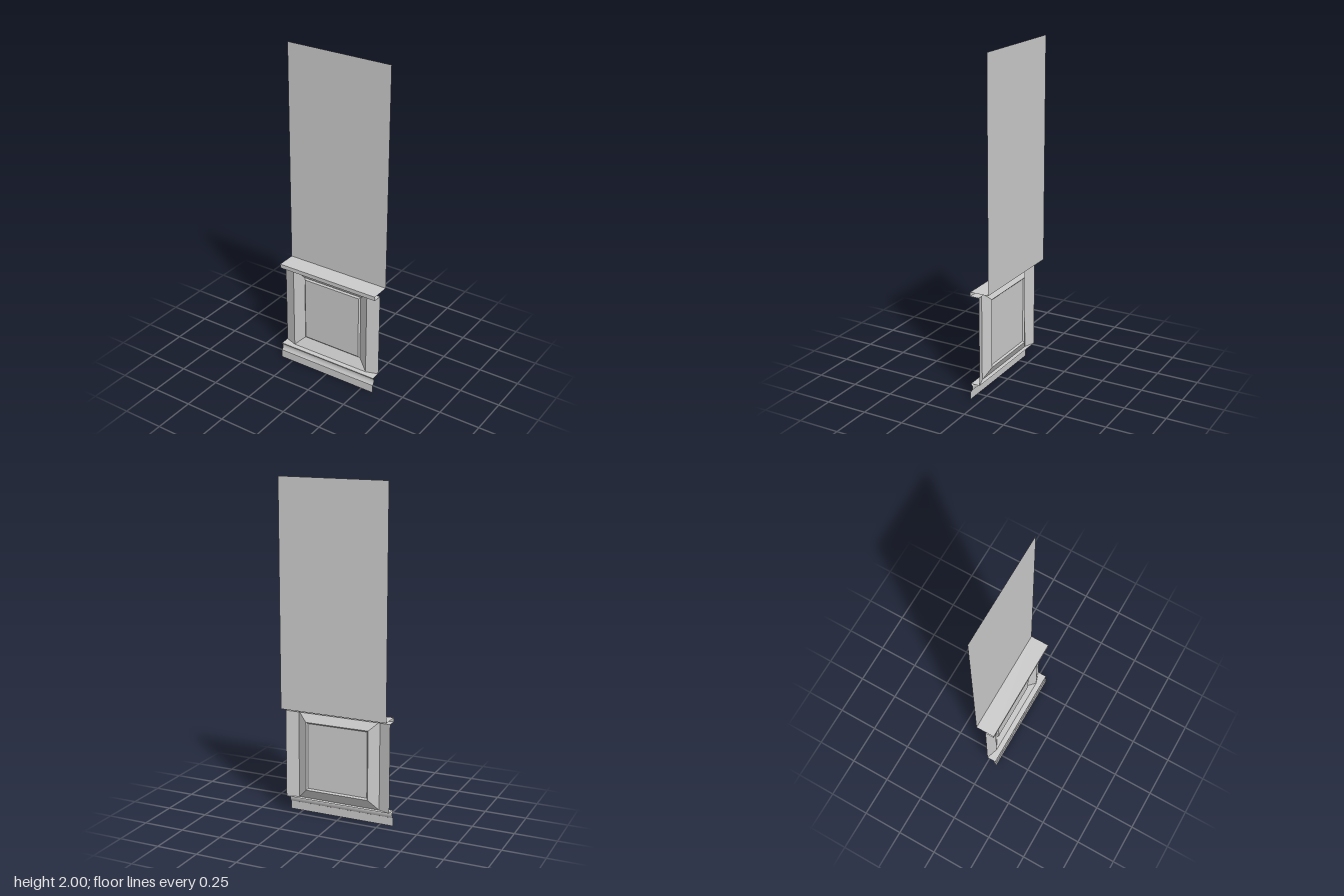
import * as THREE from 'three';

const HALF = 0.33; // half the width of the wall section

const flat = new THREE.MeshStandardMaterial({ color: 0xcccccc, side: THREE.DoubleSide, flatShading: true });
const smooth = new THREE.MeshStandardMaterial({ color: 0xcccccc, side: THREE.DoubleSide });

// Skin between rows of points; rows run downwards, points run left to right
function loft(name, rows, material = flat) {
  const n = rows[0].length;
  const index = [];
  for (let r = 0; r < rows.length - 1; r++) {
    for (let c = 0; c < n - 1; c++) {
      const a = r * n + c, d = a + n;
      index.push(a, d, a + 1, a + 1, d, d + 1);
    }
  }
  const geometry = new THREE.BufferGeometry();
  geometry.setAttribute('position', new THREE.Float32BufferAttribute(rows.flat(2), 3));
  geometry.setIndex(index);
  geometry.computeVertexNormals();
  const mesh = new THREE.Mesh(geometry, material);
  mesh.name = name;
  return mesh;
}

// Open moulding: a [z, y] profile drawn across the full width
const moulding = (name, profile, material) =>
  loft(name, profile.map(([z, y]) => [[-HALF, y, z], [HALF, y, z]]), material);

// Closed rectangular loop, clockwise from the front
const rectLoop = (x, bottom, top, z) =>
  [[-x, top, z], [x, top, z], [x, bottom, z], [-x, bottom, z], [-x, top, z]];

export function createModel() {
  const model = new THREE.Group();
  model.name = 'wallPanel';

  // Plain wall above and the chair rail ledge
  model.add(moulding('upperWall', [[-0.06, 2], [-0.06, 0.66]]));
  model.add(moulding('chairRail', [[-0.06, 0.66], [0.056, 0.66], [0.056, 0.635], [0, 0.635]]));

  // Slanted stiles on both sides of the panel
  for (const side of [-1, 1]) {
    const row = (y) => {
      const pts = [[side * 0.257, y, 0.025], [side * HALF, y, 0]];
      return side > 0 ? pts : pts.reverse();
    };
    model.add(loft(side > 0 ? 'leftStile' : 'rightStile', [row(0.635), row(0.1)]));
  }

  // Recessed bevel, small raised lip and centre field
  const outer = rectLoop(0.257, 0.1, 0.635, 0.025);
  const recess = rectLoop(0.197, 0.16, 0.58, -0.006);
  const field = rectLoop(0.188, 0.17, 0.571, 0.003);
  model.add(loft('panelBevel', [outer, recess]));
  model.add(loft('panelLip', [recess, field]));
  model.add(loft('panelField', [[field[0], field[1]], [field[3], field[2]]]));

  // Baseboard: flat top, hollow cove and plinth
  const cove = new THREE.CubicBezierCurve3(
    new THREE.Vector3(0.057, 0.094, 0), new THREE.Vector3(0.043, 0.092, 0),
    new THREE.Vector3(0.043, 0.07, 0), new THREE.Vector3(0.055, 0.052, 0));
  model.add(moulding('baseboardTop', [[0, 0.1], [0.057, 0.1], [0.057, 0.094]]));
  model.add(moulding('baseboardCove', cove.getPoints(10).map((p) => [p.x, p.y]), smooth));
  model.add(moulding('baseboardPlinth', [[0.055, 0.052], [0.059, 0.05], [0.06, 0]]));

  return model;
}
